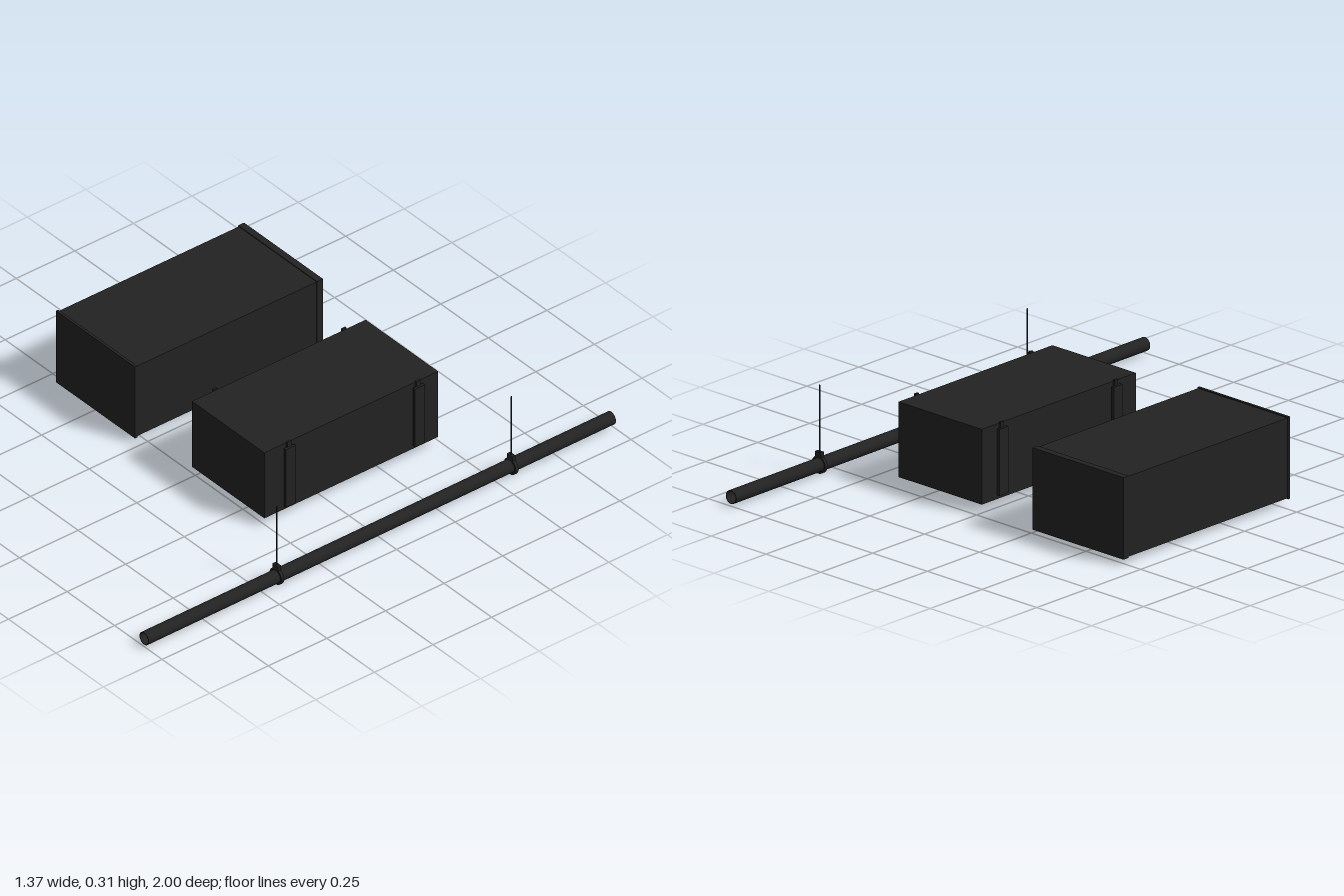
import * as THREE from 'three';

const dark = new THREE.MeshStandardMaterial({ color: 0x222222 });

// box given by its minimum and maximum corners
function block(name, [x0, y0, z0], [x1, y1, z1]) {
  const m = new THREE.Mesh(new THREE.BoxGeometry(x1 - x0, y1 - y0, z1 - z0), dark);
  m.position.set((x0 + x1) / 2, (y0 + y1) / 2, (z0 + z1) / 2);
  m.name = name;
  return m;
}

// hollow round section centred on the origin, running along z
function tube(name, outer, inner, length) {
  const shape = new THREE.Shape().absarc(0, 0, outer, 0, Math.PI * 2, false);
  shape.holes.push(new THREE.Path().absarc(0, 0, inner, 0, Math.PI * 2, true));
  const g = new THREE.ExtrudeGeometry(shape, { depth: length, bevelEnabled: false, curveSegments: 16 });
  g.translate(0, 0, -length / 2);
  const m = new THREE.Mesh(g, dark);
  m.name = name;
  return m;
}

// large box with a lip at each end
function createLargeBox() {
  const g = new THREE.Group();
  g.name = 'largeBox';
  g.add(
    block('largeBody', [-0.68, 0.023, -0.5], [-0.271, 0.307, 0.285]),
    block('backLip', [-0.683, 0.02, -0.512], [-0.268, 0.31, -0.487]),
    block('frontLip', [-0.683, 0.02, 0.28], [-0.268, 0.31, 0.29])
  );
  return g;
}

// smaller box with two mounting brackets on each side
function createSmallBox() {
  const g = new THREE.Group();
  g.name = 'smallBox';
  g.add(block('smallBody', [-0.008, 0.034, -0.483], [0.373, 0.3, 0.258]));
  const cx = 0.1825;
  for (const side of [-1, 1]) {
    for (const z of [-0.393, 0.157]) {
      const sideBlock = (name, near, far, y0, y1, hw) => {
        const a = cx + side * near, b = cx + side * far;
        return block(name, [Math.min(a, b), y0, z - hw], [Math.max(a, b), y1, z + hw]);
      };
      g.add(
        sideBlock('bracketPost', 0.19, 0.198, 0.05, 0.305, 0.008),
        sideBlock('bracketPlate', 0.195, 0.206, 0.05, 0.285, 0.021)
      );
    }
  }
  return g;
}

// long hollow pipe hung from two ring clamps on thin rods
function createHungPipe() {
  const g = new THREE.Group();
  g.name = 'hungPipe';
  const pipe = tube('pipe', 0.024, 0.021, 2);
  pipe.position.set(0.651, 0.032, 0);
  pipe.rotation.y = 0.004;
  g.add(pipe);
  for (const z of [-0.57, 0.43]) {
    const ring = tube('clampRing', 0.031, 0.024, 0.012);
    ring.position.set(0.651, 0.031, z);
    const neck = block('clampNeck', [0.637, 0.056, z - 0.007], [0.665, 0.077, z + 0.007]);
    const rod = new THREE.Mesh(new THREE.CylinderGeometry(0.0025, 0.0025, 0.24, 10), dark);
    rod.position.set(0.651, 0.192, z);
    rod.name = 'hangerRod';
    g.add(ring, neck, rod);
  }
  return g;
}

export function createModel() {
  const model = new THREE.Group();
  model.name = 'boxesAndPipe';
  model.add(createLargeBox(), createSmallBox(), createHungPipe());
  return model;
}
